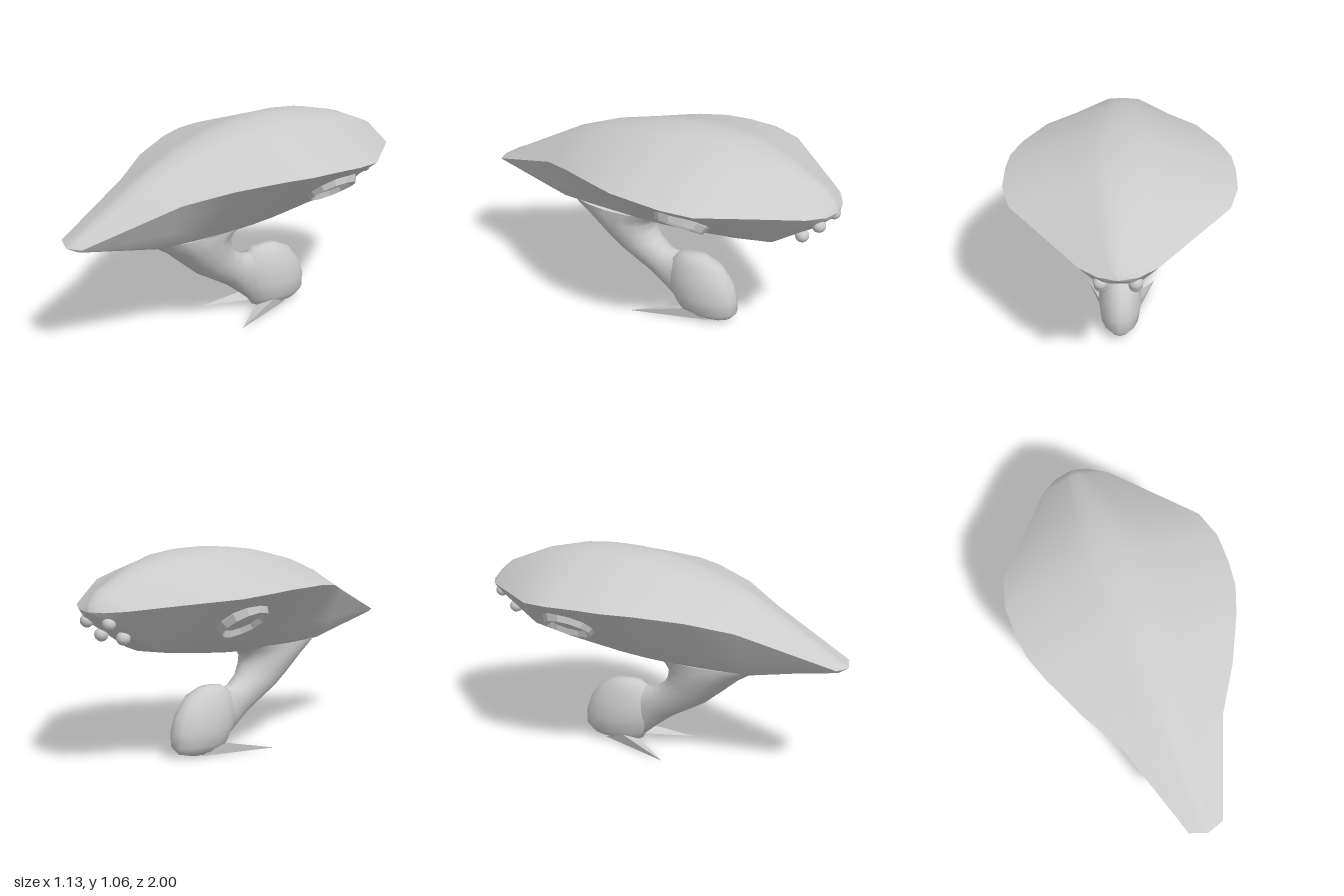
import * as THREE from 'three';

const material = new THREE.MeshStandardMaterial({ color: 0xcccccc, side: THREE.DoubleSide });

// Smooth skin through rows of [x, y, z] points; closed wraps each row into a ring.
function loft(rows, closed = false) {
  const n = rows[0].length, index = [];
  for (let i = 0; i < rows.length - 1; i++) {
    for (let j = 0; j < (closed ? n : n - 1); j++) {
      const a = i * n + j, b = i * n + (j + 1) % n;
      index.push(a, a + n, b, b, a + n, b + n);
    }
  }
  const g = new THREE.BufferGeometry();
  g.setAttribute('position', new THREE.Float32BufferAttribute(rows.flat(2), 3));
  g.setIndex(index);
  g.computeVertexNormals();
  return g;
}

function add(parent, name, geometry) {
  const mesh = new THREE.Mesh(geometry, material);
  mesh.name = name;
  parent.add(mesh);
  return mesh;
}

// Hull stations: z, half width, rim y, top y, bottom y, bottom half width
const HULL = [
  [1.0, 0, 0.615, 0.615, 0.615, 0],
  [0.97, 0.09, 0.625, 0.632, 0.607, 0.07],
  [0.51, 0.26, 0.79, 0.89, 0.51, 0.13],
  [0.3, 0.39, 0.85, 0.968, 0.505, 0.14],
  [0.07, 0.5, 0.882, 1.025, 0.5, 0.14],
  [-0.07, 0.55, 0.89, 1.045, 0.505, 0.14],
  [-0.2, 0.565, 0.893, 1.058, 0.515, 0.14],
  [-0.36, 0.567, 0.887, 1.058, 0.535, 0.14],
  [-0.51, 0.525, 0.873, 1.045, 0.555, 0.14],
  [-0.7, 0.365, 0.85, 1.0, 0.59, 0.13],
  [-0.92, 0.18, 0.822, 0.905, 0.735, 0.1],
  [-0.98, 0.09, 0.813, 0.85, 0.785, 0.06],
  [-1.0, 0, 0.81, 0.81, 0.81, 0],
];

// Full row across the hull from its centre-to-rim half
const mirrorRow = (half, sign) => [
  ...half.slice(1).reverse().map(([x, y, z]) => [sign * x, y, z]),
  ...half.map(([x, y, z]) => [-sign * x, y, z]),
];

function topRow([z, w, rim, top]) {
  const profile = [[0, 0], [0.12, 0.025], [0.23, 0.09], [0.37, 0.27], [0.7, 0.64], [1, 1]];
  return mirrorRow(profile.map(([t, d]) => [w * t, top + (rim - top) * d, z]), 1);
}

function bottomRow([z, w, rim, , bottom, bw]) {
  const corner = bottom + (rim - bottom) * 0.12;
  const half = [[0, bottom, z], [bw * 0.65, bottom + (corner - bottom) * 0.3, z]];
  for (const t of [0, 0.33, 0.67, 1]) half.push([bw + (w - bw) * t, corner + (rim - corner) * t, z]);
  return mirrorRow(half, -1);
}

// Oval ring between a front and a back point [z, y]
function ring(front, back, w, sides = 16) {
  return Array.from({ length: sides }, (_, i) => {
    const a = (i / sides) * Math.PI * 2, k = (1 + Math.cos(a)) / 2;
    return [Math.sin(a) * w, back[1] + (front[1] - back[1]) * k, back[0] + (front[0] - back[0]) * k];
  });
}

export function createModel() {
  const model = new THREE.Group();
  model.name = 'craft';

  // Hull, split at the sharp rim
  add(model, 'hullTop', loft(HULL.map(topRow)));
  add(model, 'hullBottom', loft(HULL.map(bottomRow)));

  // Neck sweeping down and back
  const neck = [
    [[0.56, 0.53], [-0.06, 0.53], 0.14],
    [[0.5, 0.5], [0.01, 0.495], 0.14],
    [[0.42, 0.45], [0.035, 0.46], 0.135],
    [[0.32, 0.365], [0.03, 0.42], 0.12],
    [[0.23, 0.29], [0, 0.37], 0.1],
    [[0.04, 0.18], [-0.06, 0.33], 0.078],
    [[-0.05, 0.11], [-0.12, 0.325], 0.07],
    [[-0.12, 0.05], [-0.22, 0.31], 0.055],
  ];
  add(model, 'neck', loft(neck.map((s) => ring(...s)), true));

  // Lower pod: y, front z, back z, half width
  const pod = [
    [0.35, -0.22, -0.22, 0],
    [0.343, -0.14, -0.29, 0.045],
    [0.305, -0.08, -0.375, 0.08],
    [0.22, -0.06, -0.44, 0.104],
    [0.14, -0.07, -0.465, 0.112],
    [0.065, -0.11, -0.465, 0.1],
    [0.025, -0.13, -0.43, 0.07],
    [0.006, -0.18, -0.36, 0.035],
    [0.004, -0.27, -0.27, 0],
  ];
  add(model, 'pod', loft(pod.map(([y, f, b, w]) => ring([f, y], [b, y], w)), true));

  for (const s of [1, -1]) {
    const side = s > 0 ? 'left' : 'right';

    // Pointed foot fin: a thin four-cornered spike
    const tip = [s * 0.18, 0.002, 0.075];
    const base = [[0.1, 0.063, -0.2], [0.04, 0.03, -0.13], [0.05, 0.008, -0.33]]
      .map(([x, y, z]) => [s * x, y, z]);
    const fin = loft([[tip, tip, tip], base], true).toNonIndexed();
    fin.computeVertexNormals();
    add(model, side + 'Fin', fin);

    // Dished round port facing out and down from the hull side
    const profile = [[0.14, -0.07], [0.14, -0.035], [0.122, 0], [0.1, -0.025], [0.06, -0.032], [0, -0.035]]
      .map(([x, y]) => new THREE.Vector2(x, y));
    const dish = new THREE.LatheGeometry(profile, 12).toNonIndexed();
    dish.computeVertexNormals();
    const port = add(model, side + 'Port', dish);
    port.position.set(s * 0.383, 0.718, -0.35);
    port.quaternion.setFromUnitVectors(
      new THREE.Vector3(0, 1, 0), new THREE.Vector3(s * 0.58, -0.815, 0).normalize());

    // Small domes on the underside of the tail
    for (const [y, z] of [[0.757, -0.94], [0.68, -0.855]]) {
      add(model, side + 'TailDome', new THREE.SphereGeometry(0.034, 14, 10)).position.set(s * 0.08, y, z);
    }
  }
  return model;
}
